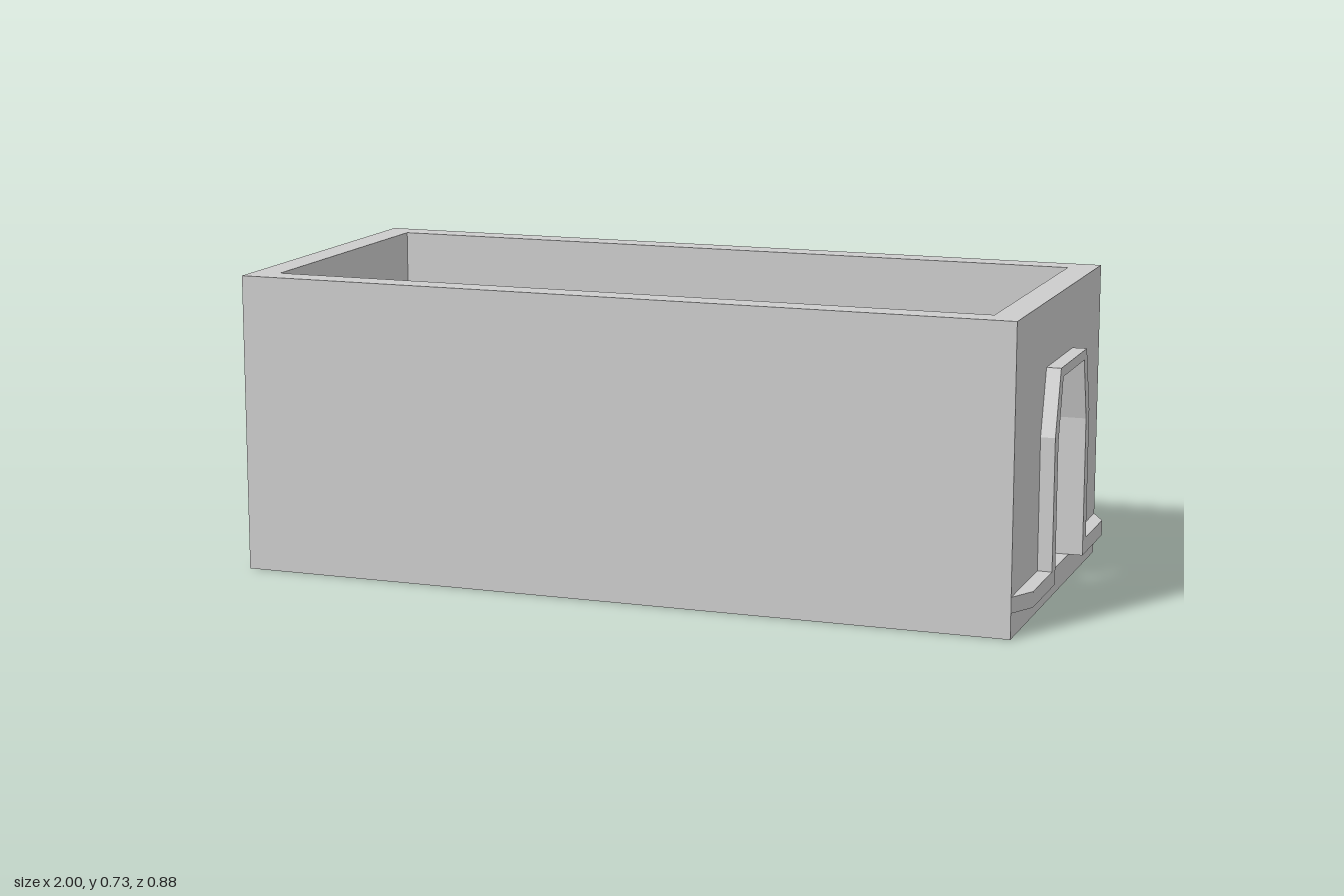
import * as THREE from 'three';
import { mergeGeometries } from 'three/addons/utils/BufferGeometryUtils.js';

const H = 0.734, FLOOR = 0.062;          // wall height, floor level
const OX = 0.965, OZ = 0.438;            // outer half sizes
const IX = 0.896, IZ = 0.37;             // inner half sizes
const T = 0.035;                         // trim thickness

const mat = new THREE.MeshStandardMaterial({ color: 0xcccccc, flatShading: true });

// closed shape from half of a symmetric outline
const mirrored = half => new THREE.Shape([
  ...half, ...half.map(([x, y]) => [-x, y]).reverse()
].map(p => new THREE.Vector2(...p)));

const rect = (w, y0, y1) => mirrored([[w, y0], [w, y1]]);

const doorHalf = [[0.148, FLOOR], [0.148, 0.403], [0.111, 0.553]];

function shellGeometry() {
  const parts = [];
  // four walls, outer and inner skins; the end walls have doorways
  for (let i = 0; i < 4; i++) {
    const end = i % 2 === 1, a = i * Math.PI / 2;
    const outer = rect(end ? OZ : OX, 0, H), inner = rect(end ? IZ : IX, FLOOR, H);
    let innerShape = inner;
    if (end) {
      outer.holes.push(mirrored(doorHalf));
      innerShape = mirrored([[IZ, H], [IZ, FLOOR], ...doorHalf]);
      // doorway reveal and sill
      const pts = mirrored(doorHalf).getPoints(), pos = [];
      pts.forEach((p, k) => {
        const q = pts[(k + 1) % pts.length];
        pos.push(p.x, p.y, IX, p.x, p.y, OX, q.x, q.y, OX,
          p.x, p.y, IX, q.x, q.y, OX, q.x, q.y, IX);
      });
      const g = new THREE.BufferGeometry();
      g.setAttribute('position', new THREE.Float32BufferAttribute(pos, 3));
      g.computeVertexNormals();
      g.setAttribute('uv', new THREE.Float32BufferAttribute(new Float32Array(pos.length / 3 * 2), 2));
      parts.push(g.rotateY(a));
    }
    parts.push(new THREE.ShapeGeometry(outer).translate(0, 0, end ? OX : OZ).rotateY(a));
    parts.push(new THREE.ShapeGeometry(innerShape).translate(0, 0, end ? -IX : -IZ).rotateY(a));
  }
  // top rim, floor and underside
  const rim = rect(OX, -OZ, OZ);
  rim.holes.push(rect(IX, -IZ, IZ));
  parts.push(new THREE.ShapeGeometry(rim).rotateX(-Math.PI / 2).translate(0, H, 0));
  parts.push(new THREE.PlaneGeometry(2 * IX, 2 * IZ).rotateX(-Math.PI / 2).translate(0, FLOOR, 0));
  parts.push(new THREE.PlaneGeometry(2 * OX, 2 * OZ).rotateX(Math.PI / 2));
  return mergeGeometries(parts.map(g => g.index ? g.toNonIndexed() : g));
}

// skirting that climbs around the doorway; tipW is its half width at the front face
function trimGeometry(width, tipW, dist) {
  const shape = mirrored([
    [0.137, 0.577], [0.182, 0.42], [0.182, 0.1], [width, 0.1], [width, FLOOR], ...doorHalf
  ]);
  const g = new THREE.ExtrudeGeometry(shape, { depth: T, bevelEnabled: false });
  const p = g.attributes.position;
  for (let i = 0; i < p.count; i++) {
    if (p.getZ(i) > T / 2 && Math.abs(p.getX(i)) > width - 0.01) p.setX(i, Math.sign(p.getX(i)) * tipW);
  }
  g.computeVertexNormals();
  return g.translate(0, 0, dist);
}

export function createModel() {
  const model = new THREE.Group();
  model.name = 'roofless building';
  const add = (name, geo) => {
    const m = new THREE.Mesh(geo, mat);
    m.name = name;
    model.add(m);
    return m;
  };

  add('walls and floor', shellGeometry());

  for (const s of [1, -1]) {
    const side = s > 0 ? 'left' : 'right';
    add(side + ' outer door trim', trimGeometry(OZ, IZ, OX)).rotation.y = s * Math.PI / 2;
    add(side + ' inner door trim', trimGeometry(IZ, IZ, -IX)).rotation.y = s * Math.PI / 2;
    // skirting along the long walls
    add((s > 0 ? 'front' : 'back') + ' skirting', new THREE.BoxGeometry(2 * (IX - T), 0.1 - FLOOR, T))
      .position.set(0, (0.1 + FLOOR) / 2, s * (IZ - T / 2));
  }
  return model;
}
